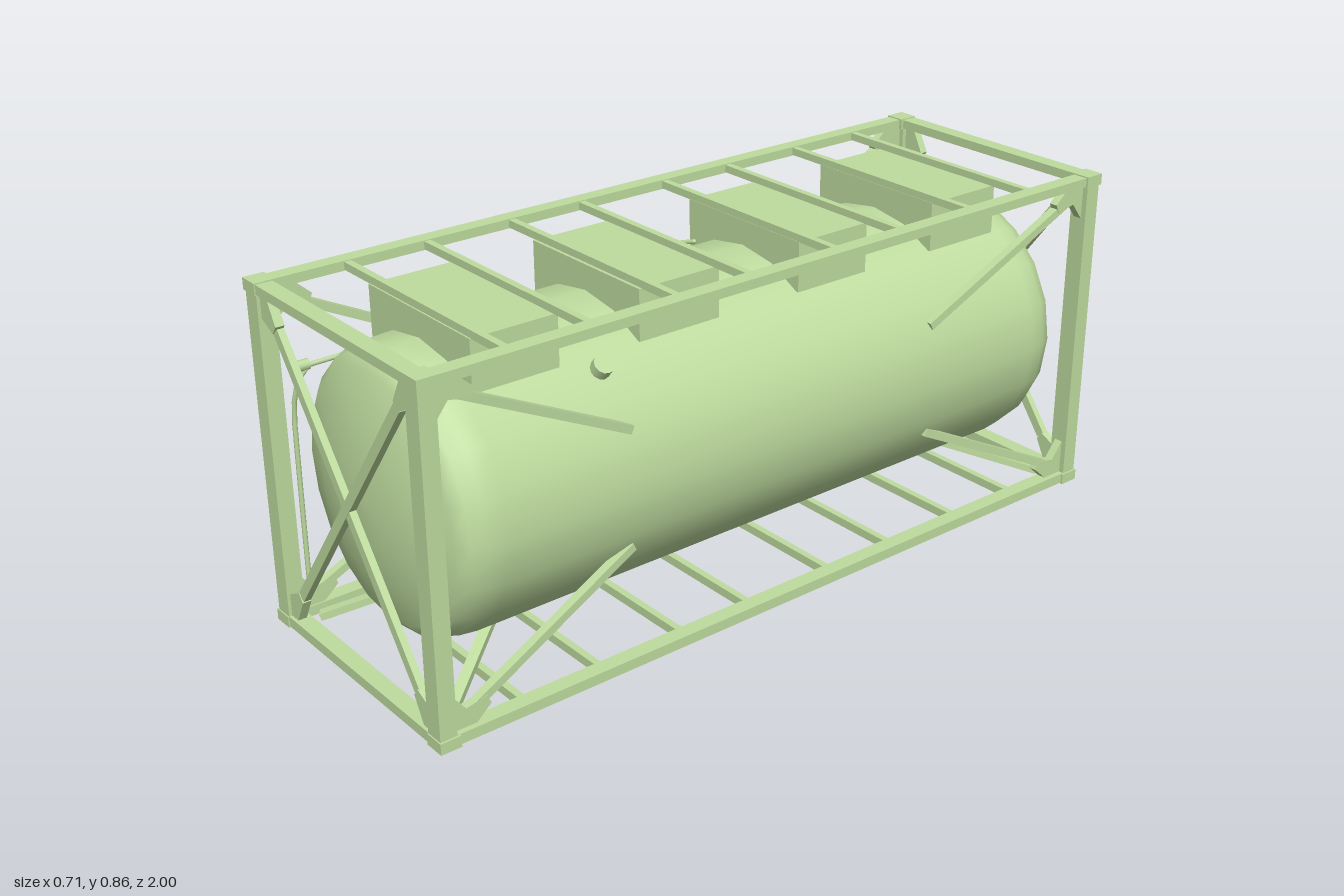
import * as THREE from 'three';

const V = (x, y, z) => new THREE.Vector3(x, y, z);
const SIGNS = [-1, 1];

export function createModel() {
  const root = new THREE.Group();
  root.name = 'tankContainer';
  const mat = new THREE.MeshStandardMaterial({ color: 0xbfdc9f });

  const add = (name, geo, parent = root) => {
    const m = new THREE.Mesh(geo, mat);
    m.name = name;
    parent.add(m);
    return m;
  };
  const group = (name) => {
    const g = new THREE.Group();
    g.name = name;
    root.add(g);
    return g;
  };
  // Box given by its limits on each axis
  const block = (name, x0, x1, y0, y1, z0, z1, parent) =>
    add(name, new THREE.BoxGeometry(x1 - x0, y1 - y0, z1 - z0), parent)
      .position.set((x0 + x1) / 2, (y0 + y1) / 2, (z0 + z1) / 2);
  // Straight bar between two points
  const bar = (name, a, b, w, h, parent) => {
    const m = add(name, new THREE.BoxGeometry(w, h, a.distanceTo(b)), parent);
    m.position.copy(a).lerp(b, 0.5);
    m.lookAt(b);
  };
  // Flat corner plate, drawn from the corner inward
  const plate = (pts, cx, cy, sx, sy, depth) => {
    const shape = new THREE.Shape(pts.map(([x, y]) => new THREE.Vector2(cx + sx * x, cy + sy * y)));
    return new THREE.ExtrudeGeometry(shape, { depth, bevelEnabled: false }).translate(0, 0, -depth / 2);
  };
  const pipe = (name, pts, r, parent) => {
    const curve = new THREE.CatmullRomCurve3(pts.map((p) => V(...p)), false, 'catmullrom', 0.15);
    add(name, new THREE.TubeGeometry(curve, pts.length * 6, r, 8), parent);
    for (const p of [pts[0], pts[pts.length - 1]]) {
      add(name + 'End', new THREE.SphereGeometry(r, 8, 6), parent).position.set(...p);
    }
  };

  // Tank: lathed barrel with shallow domed ends
  const half = [[0.342, 0.8], [0.337, 0.845], [0.322, 0.88], [0.295, 0.903], [0.2, 0.929], [0.1, 0.948], [0, 0.95]];
  const profile = [
    ...half.slice().reverse().map(([r, h]) => new THREE.Vector2(r, -h)),
    ...half.map(([r, h]) => new THREE.Vector2(r, h)),
  ];
  add('tank', new THREE.LatheGeometry(profile, 20).rotateX(-Math.PI / 2)).position.y = 0.43;

  // Outer frame: posts, corner blocks, rails and end beams
  const frame = group('frame');
  for (const s of SIGNS) {
    for (const t of SIGNS) {
      const cx = s * 0.326, cz = t * 0.976;
      block('cornerPost', cx - 0.024, cx + 0.024, 0.02, 0.84, cz - 0.021, cz + 0.021, frame);
      for (const y of [0, 0.829]) {
        block('cornerBlock', s * 0.3285 - 0.0265, s * 0.3285 + 0.0265, y, y + 0.028,
          t * 0.974 - 0.026, t * 0.974 + 0.026, frame);
      }
    }
    for (const [y0, y1] of [[0.003, 0.029], [0.831, 0.854]]) {
      block('longRail', s * 0.33 - 0.02, s * 0.33 + 0.02, y0, y1, -0.96, 0.96, frame);
      block('endBeam', -0.31, 0.31, y0, y1, s * 0.976 - 0.021, s * 0.976 + 0.021, frame);
    }
  }

  // Rungs across the top and bottom
  const rungs = group('rungs');
  for (const z of [-0.775, -0.565, -0.335, -0.13, 0.125, 0.328, 0.56, 0.767]) {
    block('topRung', -0.315, 0.315, 0.833, 0.852, z - 0.009, z + 0.009, rungs);
    block('bottomRung', -0.315, 0.315, 0.005, 0.027, z - 0.009, z + 0.009, rungs);
  }

  // Saddle boxes between the tank and the top rungs
  for (const [z0, z1] of [[0.56, 0.78], [0.12, 0.345], [-0.335, -0.12], [-0.775, -0.555]]) {
    block('saddleBox', -0.2, 0.2, 0.71, 0.834, z0, z1);
  }

  // Cross braces and corner plates on both ends
  const braces = group('braces');
  const endPlate = [[0, 0], [0.03, 0], [0.062, 0.06], [0.047, 0.08], [0, 0.057]];
  const sidePlate = [[0, 0], [0.06, 0], [0.098, 0.034], [0.088, 0.056], [0.035, 0.045], [0, 0.09]];
  for (const t of SIGNS) {
    bar('endBrace', V(-0.25, 0.1, t * 0.978), V(0.25, 0.76, t * 0.978), 0.018, 0.025, braces);
    bar('endBrace', V(0.25, 0.1, t * 0.978), V(-0.25, 0.76, t * 0.978), 0.017, 0.025, braces);
    for (const s of SIGNS) {
      for (const u of SIGNS) {
        const y = u > 0 ? 0.832 : 0.029;
        add('endPlate', plate(endPlate, s * 0.303, y, -s, -u, 0.022), braces).position.z = t * 0.978;
        add('sidePlate', plate(sidePlate, t * 0.956, y, -t, -u, 0.022).rotateY(-Math.PI / 2), braces)
          .position.x = s * 0.325;
        // Side braces slope from the corner plates onto the barrel
        bar('sideBrace', V(s * 0.325, 0.43 + u * 0.361, t * 0.895),
          V(s * 0.304, 0.43 + u * 0.142, t * 0.455), 0.022, 0.02, braces);
      }
      // Lower struts run inward beneath the tank
      bar('underStrut', V(s * 0.275, 0.02, t * 0.93), V(s * 0.11, 0.12, t * 0.7), 0.025, 0.018, braces);
    }
  }

  // Round fitting on the tank shoulder
  const fitting = add('fitting', new THREE.CylinderGeometry(0.024, 0.024, 0.04, 12));
  fitting.position.set(0.224, 0.69, 0.47);
  fitting.rotation.z = -0.7;

  // Service pipe along the opposite shoulder, dropping at the front
  const piping = group('piping');
  pipe('servicePipe', [[-0.28, 0.645, -0.745], [-0.274, 0.652, 0], [-0.266, 0.655, 0.9],
    [-0.268, 0.625, 0.935], [-0.288, 0.545, 0.942], [-0.292, 0.3, 0.942], [-0.293, 0.09, 0.942]], 0.006, piping);
  for (const [z, dz] of [[-0.745, -0.055], [-0.06, -0.045], [0.435, -0.01]]) {
    pipe('branchPipe', [[-0.275, 0.652, z], [-0.262, 0.672, z + dz * 0.3],
      [-0.235, 0.715, z + dz * 0.6], [-0.165, 0.737, z + dz]], 0.006, piping);
  }
  // Valve at the bend of the pipe
  const valve = add('valve', new THREE.CylinderGeometry(0.013, 0.013, 0.03, 10), piping);
  valve.position.set(-0.271, 0.655, 0.92);
  valve.rotation.x = Math.PI / 2;
  const handle = add('valveHandle', new THREE.BoxGeometry(0.008, 0.04, 0.008), piping);
  handle.position.set(-0.275, 0.658, 0.935);
  handle.rotation.z = 0.5;

  return root;
}
